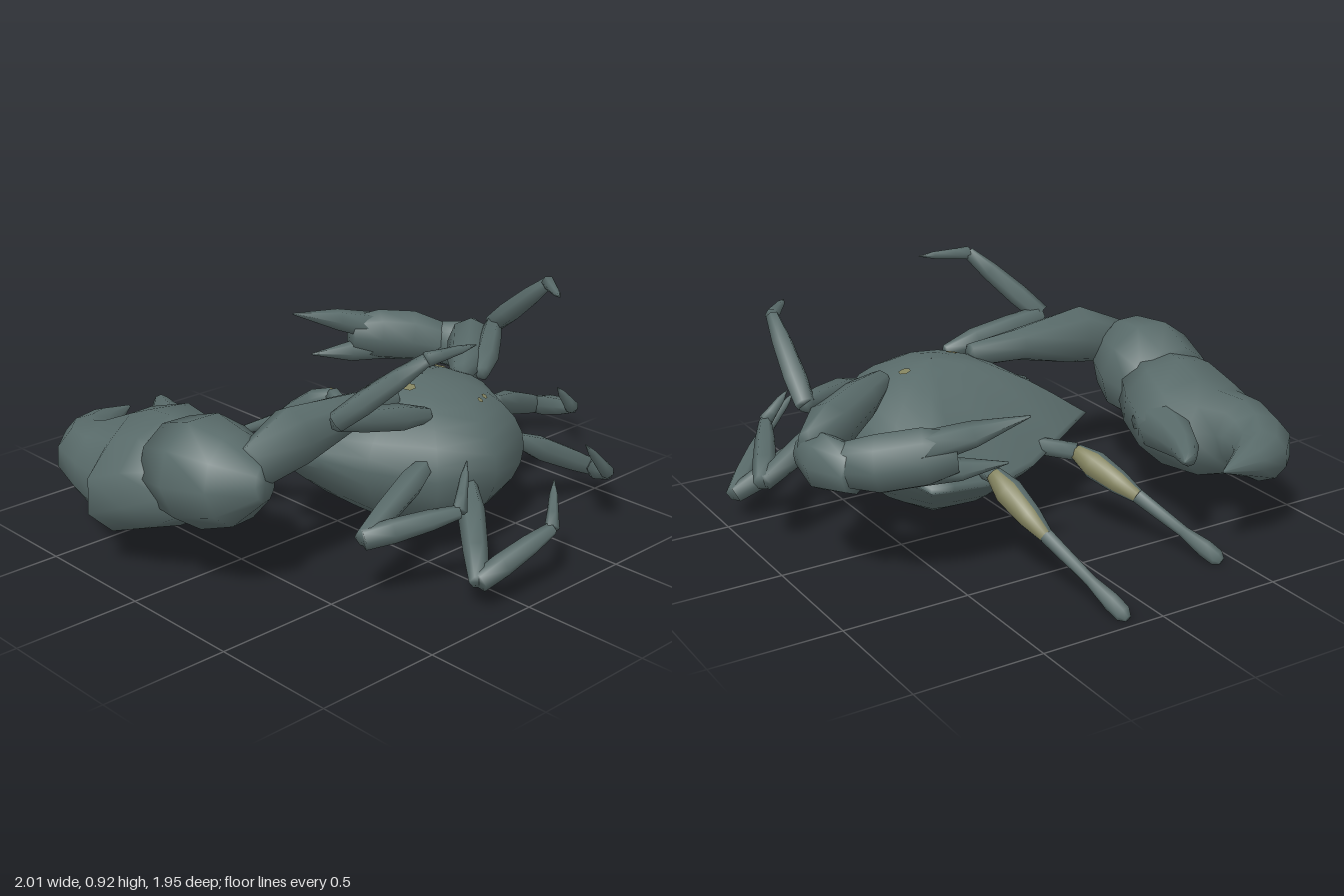
import * as THREE from 'three';

const shell = new THREE.MeshStandardMaterial({ color: 0x596b6a });
shell.name = 'slate shell';
const ochre = new THREE.MeshStandardMaterial({ color: 0x83835f });
ochre.name = 'pale ochre';

// Grid of points (rows of closed rings) to smooth surface; paint(j) picks the material of a column
function skin(rows, flip, paint = () => 0) {
  const n = rows[0].length, pos = rows.flat().flatMap(p => [p.x, p.y, p.z]);
  const faces = [[], []];
  for (let i = 0; i < rows.length - 1; i++) for (let j = 0; j < n; j++) {
    const k = (j + 1) % n, a = i * n + j, b = i * n + k, c = a + n, d = b + n;
    faces[paint(j)].push(...(flip ? [a, c, b, b, c, d] : [a, b, c, b, d, c]));
  }
  const g = new THREE.BufferGeometry();
  g.setAttribute('position', new THREE.Float32BufferAttribute(pos, 3));
  g.setIndex([...faces[0], ...faces[1]]);
  g.addGroup(0, faces[0].length, 0);
  if (faces[1].length) g.addGroup(faces[0].length, faces[1].length, 1);
  g.computeVertexNormals();
  return g;
}

// Elliptical loft through stations [x, y, z, halfWidth, halfHeight], rolled about its path
function loft(name, stations, { sides = 8, paint, roll = 0 } = {}) {
  const P = stations.map(s => new THREE.Vector3(s[0], s[1], s[2]));
  const last = P.length - 1, rows = [];
  P.forEach((p, i) => {
    const t = P[Math.min(i + 1, last)].clone().sub(P[Math.max(i - 1, 0)]).normalize();
    const side = t.clone().cross(new THREE.Vector3(0, 1, 0)).normalize().applyAxisAngle(t, -roll);
    const up = side.clone().cross(t);
    const [, , , w, h = w] = stations[i];
    const ring = s => Array.from({ length: sides }, (_, j) => {
      const a = j / sides * Math.PI * 2;
      return p.clone().addScaledVector(side, Math.cos(a) * w * s).addScaledVector(up, Math.sin(a) * h * s);
    });
    if (i === 0) rows.push(ring(0.01));
    rows.push(ring(1));
    if (i === last) rows.push(ring(0.01));
  });
  const mesh = new THREE.Mesh(skin(rows, true, paint), paint ? [shell, ochre] : shell);
  mesh.name = name;
  return mesh;
}

// One limb segment: start, swollen first third, tapered end
function bone(name, a, b, r0, rm, r1, options = { sides: 6 }) {
  const at = (f, r) => [0, 1, 2].map(k => a[k] + (b[k] - a[k]) * f).concat(r, r);
  return loft(name, [at(0, r0), at(0.3, rm), at(0.7, (rm * 2 + r1) / 3), at(1, r1)], options);
}

// Walking leg: thigh, shin and pointed tip
function leg(name, root, knee, ankle, tip) {
  const g = new THREE.Group();
  g.name = name;
  g.add(bone('thigh', root, knee, 0.03, 0.052, 0.036),
    bone('shin', knee, ankle, 0.04, 0.045, 0.025),
    bone('legTip', ankle, tip, 0.028, 0.022, 0.002));
  return g;
}

// Low stalk with a swollen, part-coloured middle and a bulb at the end
function stalk(name, root, bend, mid, end) {
  const g = new THREE.Group();
  g.name = name;
  const mix = f => mid.map((v, k) => v + (end[k] - v) * f);
  const stripe = { sides: 10, paint: j => (j < 2 || j === 9 ? 1 : 0), roll: 0.2 };
  g.add(bone('stalkBase', root, bend, 0.03, 0.035, 0.035),
    bone('stalkMiddle', bend, mid, 0.032, 0.056, 0.028, stripe),
    loft('stalkEnd', [[...mid, 0.028], [...mix(0.55), 0.022], [...mix(0.8), 0.034], [...mix(0.94), 0.032], [...end, 0.015]], { sides: 6 }));
  return g;
}

// Carapace: domed above and below an irregular rim [x, y, z, steepness] with two front corners
function makeBody() {
  const rim = [[0.61, 0.38, 0.12, 1.1], [0.6, 0.38, 0.3, 1], [0.46, 0.36, 0.56, 1], [0.2, 0.36, 0.65, 1],
    [-0.04, 0.36, 0.58, 1], [-0.19, 0.38, 0.36, 1.1], [-0.24, 0.38, 0.15, 1.4], [-0.34, 0.38, -0.02, 2.3],
    [-0.16, 0.33, -0.1, 2], [0.02, 0.29, -0.19, 2], [0.2, 0.28, -0.25, 2], [0.41, 0.3, -0.26, 2],
    [0.53, 0.33, -0.3, 2.2], [0.59, 0.36, -0.06, 1.5]];
  const rows = [], steps = 14;
  for (let i = 0; i <= steps; i++) {
    const t = i / steps * Math.PI, s = Math.max(Math.sin(t), 0.002), c = Math.cos(t);
    rows.push(rim.map(([x, y, z, p]) => new THREE.Vector3(
      0.22 + (x - 0.22) * s,
      y + ((c > 0 ? 0.635 : 0.05) - y) * Math.abs(c) ** p,
      0.24 + (z - 0.24) * s)));
  }
  const mesh = new THREE.Mesh(skin(rows, false), shell);
  mesh.name = 'carapace';
  return mesh;
}

export function createModel() {
  const model = new THREE.Group();
  model.name = 'crab';
  const body = makeBody();
  model.add(body);

  // Pale spots laid on the shell: two on top, a small pair on the slope
  body.updateMatrixWorld(true);
  for (const [x, z, r] of [[0.1, 0.29, 0.025], [0.36, 0.2, 0.025], [0.29, 0.475, 0.013], [0.33, 0.46, 0.013]]) {
    const ray = new THREE.Raycaster(new THREE.Vector3(x, 2, z), new THREE.Vector3(0, -1, 0));
    const hit = ray.intersectObject(body)[0];
    const spot = new THREE.Mesh(new THREE.CircleGeometry(r, 6), ochre);
    spot.name = 'shellSpot';
    spot.quaternion.setFromUnitVectors(new THREE.Vector3(0, 0, 1), hit.face.normal);
    spot.position.copy(hit.point).addScaledVector(hit.face.normal, 0.005);
    model.add(spot);
  }

  // Large claw arm
  const big = new THREE.Group();
  big.name = 'largeClawArm';
  big.add(
    loft('upperArm', [[0.02, 0.6, 0.28, 0.04, 0.05], [-0.2, 0.605, 0.28, 0.075, 0.065], [-0.5, 0.59, 0.3, 0.1, 0.12], [-0.7, 0.53, 0.31, 0.07, 0.09]]),
    loft('wrist', [[-0.69, 0.49, 0.37, 0.06, 0.07], [-0.72, 0.48, 0.26, 0.17, 0.17], [-0.72, 0.46, 0.1, 0.22, 0.21], [-0.71, 0.43, -0.07, 0.19, 0.18]], { sides: 10 }),
    loft('palmAndFixedFinger', [[-0.71, 0.43, 0.03, 0.18, 0.16], [-0.705, 0.39, -0.12, 0.26, 0.2], [-0.69, 0.35, -0.29, 0.325, 0.2],
      [-0.71, 0.34, -0.39, 0.27, 0.18], [-0.765, 0.34, -0.48, 0.18, 0.155], [-0.75, 0.34, -0.58, 0.145, 0.13], [-0.68, 0.35, -0.68, 0.11, 0.1],
      [-0.58, 0.37, -0.74, 0.07, 0.06], [-0.42, 0.38, -0.79, 0.006]], { sides: 10, roll: 0.3 }),
    loft('movingFinger', [[-0.49, 0.4, -0.24, 0.08, 0.1], [-0.47, 0.4, -0.34, 0.092, 0.1], [-0.455, 0.4, -0.44, 0.08, 0.085],
      [-0.4, 0.41, -0.58, 0.055, 0.055], [-0.34, 0.41, -0.68, 0.03], [-0.31, 0.41, -0.7, 0.005]]));

  // Small claw arm
  const small = new THREE.Group();
  small.name = 'smallClawArm';
  small.add(
    loft('upperArm', [[0.44, 0.58, 0.25, 0.045], [0.6, 0.57, 0.13, 0.085, 0.08], [0.8, 0.56, -0.04, 0.095, 0.1], [0.92, 0.53, -0.13, 0.055, 0.08]]),
    loft('wrist', [[0.92, 0.5, -0.05, 0.04, 0.06], [0.89, 0.49, -0.16, 0.085, 0.11], [0.83, 0.49, -0.3, 0.08, 0.09]]),
    loft('palm', [[0.87, 0.49, -0.22, 0.07, 0.08], [0.76, 0.52, -0.35, 0.11, 0.11], [0.62, 0.54, -0.42, 0.1, 0.11], [0.52, 0.55, -0.47, 0.06, 0.08]]),
    loft('upperFinger', [[0.64, 0.57, -0.42, 0.08, 0.06], [0.47, 0.62, -0.5, 0.06, 0.045], [0.28, 0.67, -0.57, 0.004]], { sides: 6 }),
    loft('lowerFinger', [[0.66, 0.49, -0.4, 0.07, 0.06], [0.5, 0.48, -0.46, 0.05, 0.04], [0.34, 0.49, -0.52, 0.004]], { sides: 6 }));
  model.add(big, small);

  // Walking legs
  model.add(
    leg('leftRaisedLeg', [0.52, 0.57, 0.28], [0.86, 0.64, 0.03], [0.84, 0.89, 0.33], [0.72, 0.89, 0.49]),
    leg('leftMiddleLeg', [0.53, 0.47, 0.35], [0.97, 0.3, 0.19], [0.82, 0.41, 0.5], [0.72, 0.52, 0.5]),
    leg('leftRearLeg', [0.53, 0.34, 0.46], [0.95, 0.12, 0.53], [0.72, 0.24, 0.77], [0.57, 0.4, 0.77]),
    leg('rightRaisedLeg', [0.04, 0.57, 0.44], [-0.41, 0.66, 0.43], [-0.2, 0.9, 0.66], [0.02, 0.91, 0.69]),
    leg('rightMiddleLeg', [0, 0.42, 0.5], [-0.45, 0.28, 0.61], [-0.13, 0.34, 0.77], [0, 0.47, 0.68]),
    leg('rightRearLeg', [0.12, 0.33, 0.58], [-0.16, 0.12, 0.9], [0.17, 0.24, 0.95], [0.28, 0.37, 0.86]));

  // Front stalks
  model.add(
    stalk('rightStalk', [-0.03, 0.33, -0.08], [-0.17, 0.31, -0.2], [-0.27, 0.2, -0.47], [-0.43, 0.015, -0.79]),
    stalk('leftStalk', [0.24, 0.32, -0.16], [0.29, 0.37, -0.34], [0.23, 0.21, -0.6], [0.13, 0.015, -0.97]));
  return model;
}
